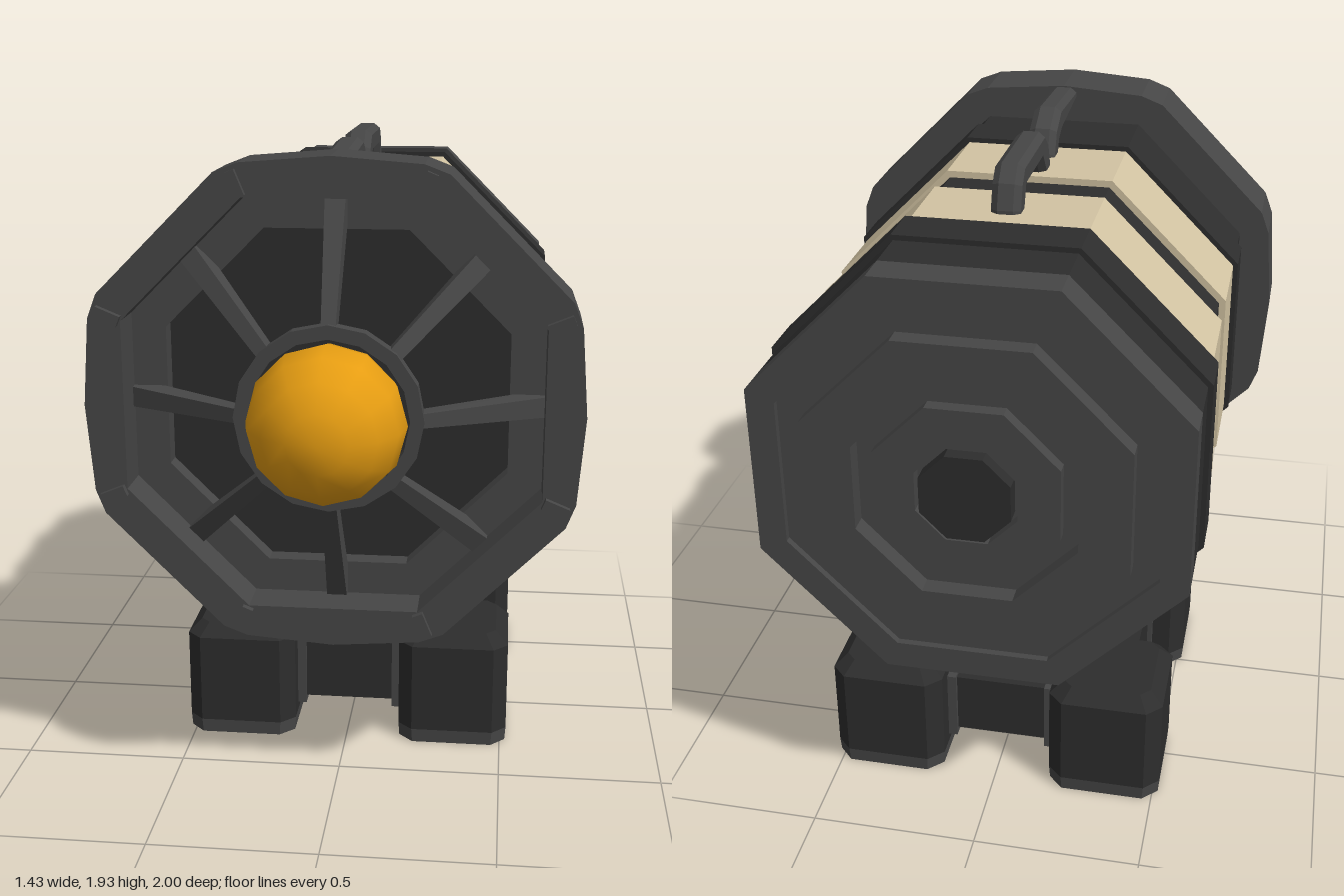
import * as THREE from 'three';

const CY = 1.2; // height of the barrel axis
const flat = (name, color) => {
  const m = new THREE.MeshStandardMaterial({ color, flatShading: true });
  m.name = name;
  return m;
};

// Octagon points with flats facing up and sideways; a = centre-to-flat distance
const octagon = (a) => Array.from({ length: 8 }, (_, i) => {
  const t = (i + 0.5) * Math.PI / 4, r = a / Math.cos(Math.PI / 8);
  return new THREE.Vector2(r * Math.cos(t), r * Math.sin(t));
});

// Plate along z from z0 to z1, with an optional hole
function plate(points, hole, z0, z1) {
  const s = new THREE.Shape(points);
  if (hole) s.holes.push(new THREE.Path(hole));
  return new THREE.ExtrudeGeometry(s, { depth: z1 - z0, bevelEnabled: false }).translate(0, 0, z0);
}

// Skin through matching rings of points, capped at both ends
function loft(rings) {
  const n = rings[0].length, pos = rings.flat(2), idx = [];
  for (let k = 0; k < rings.length - 1; k++) {
    for (let i = 0; i < n; i++) {
      const a = k * n + i, b = k * n + (i + 1) % n;
      idx.push(a, b, a + n, b, b + n, a + n);
    }
  }
  const top = (rings.length - 1) * n;
  for (let i = 1; i < n - 1; i++) idx.push(0, i + 1, i, top, top + i, top + i + 1);
  const g = new THREE.BufferGeometry();
  g.setAttribute('position', new THREE.Float32BufferAttribute(pos, 3));
  g.setIndex(idx);
  g.computeVertexNormals();
  return g;
}

// Square ring with cut corners at height y, counter-clockwise about +y
const cutSquare = (h, c, y) => [
  [h, y, h - c], [h, y, c - h], [h - c, y, -h], [c - h, y, -h],
  [-h, y, c - h], [-h, y, h - c], [c - h, y, h], [h - c, y, h],
];

export function createModel() {
  const dark = flat('charcoal', 0x2d2d2d);
  const grey = flat('grey', 0x464646);
  const tan = flat('tan', 0xd2c3a2);
  const amber = new THREE.MeshStandardMaterial({ color: 0xe69d12 });
  amber.name = 'amber';

  const model = new THREE.Group();
  const barrel = new THREE.Group();
  barrel.name = 'barrel';
  barrel.position.y = CY;
  model.add(barrel);
  const add = (parent, name, geo, mat) => {
    const m = new THREE.Mesh(geo, mat);
    m.name = name;
    parent.add(m);
    return m;
  };

  // Eight-sided body bands from front to back: z0, z1, size, material
  [
    [0.30, 0.46, 0.60, dark], [0.15, 0.30, 0.615, dark], [-0.135, 0.15, 0.60, tan],
    [-0.28, -0.135, 0.58, dark], [-0.57, -0.28, 0.60, tan], [-0.715, -0.57, 0.615, dark],
    [-0.86, -0.715, 0.60, dark], [-0.945, -0.86, 0.60, grey],
  ].forEach(([z0, z1, a, mat], i) => add(barrel, 'bodyBand' + i, plate(octagon(a), null, z0, z1), mat));

  // Stepped rear cap
  add(barrel, 'rearRim', plate(octagon(0.60), octagon(0.52), -0.965, -0.945), grey);
  add(barrel, 'rearPlate', plate(octagon(0.445), octagon(0.305), -1.0, -0.945), grey);
  add(barrel, 'rearInnerPlate', plate(octagon(0.255), octagon(0.14), -0.985, -0.945), grey);
  add(barrel, 'rearHub', plate(octagon(0.125), null, -1.0, -0.945), dark);

  // Front hood with clipped corners, built from one octant edge turned round
  const hoodOutline = [];
  const quarter = [[0.715, 0], [0.695, 0.255], [0.668, 0.325], [0.325, 0.668], [0.255, 0.695]];
  for (let q = 0; q < 4; q++) {
    for (const [x, y] of quarter) {
      hoodOutline.push(new THREE.Vector2(x, y).rotateAround(new THREE.Vector2(), q * Math.PI / 2));
    }
  }
  add(barrel, 'frontHood', plate(hoodOutline, octagon(0.60), 0.44, 0.65), grey);
  add(barrel, 'hoodInnerRing', plate(octagon(0.61), octagon(0.50), 0.445, 0.52), grey);

  // Spokes and rim clips
  const spoke = loft([
    [[0.61, -0.035, 0.46], [0.61, 0.035, 0.46], [0.61, 0.03, 0.535], [0.61, -0.03, 0.535]].reverse(),
    [[0.235, -0.022, 0.685], [0.235, 0.022, 0.685], [0.235, 0.02, 0.735], [0.235, -0.02, 0.735]].reverse(),
  ]);
  for (let i = 0; i < 8; i++) {
    add(barrel, 'spoke' + i, spoke, grey).rotation.z = i * Math.PI / 4;
    const t = (i + 0.5) * Math.PI / 4;
    const clip = add(barrel, 'rimClip' + i, new THREE.BoxGeometry(0.075, 0.032, 0.04), grey);
    clip.position.set(0.69 * Math.cos(t), 0.69 * Math.sin(t), 0.65);
    clip.rotation.z = t;
  }

  // Lamp bulb and its collar
  const circle = (r) => Array.from({ length: 16 }, (_, i) =>
    new THREE.Vector2(r * Math.cos(i * Math.PI / 8), r * Math.sin(i * Math.PI / 8)));
  add(barrel, 'bulbCollar', plate(circle(0.268), circle(0.228), 0.69, 0.735), grey);
  const bulb = add(barrel, 'bulb', new THREE.SphereGeometry(0.225, 12, 8).rotateX(Math.PI / 2), amber);
  bulb.position.z = 0.775;

  // Carry handles: side profiles in (z, y), given width along x
  const handle = (name, pts) => {
    const s = new THREE.Shape(pts.map(([z, y]) => new THREE.Vector2(-z, y - CY)));
    const g = new THREE.ExtrudeGeometry(s, {
      depth: 0.045, bevelThickness: 0.02, bevelSize: 0.015, bevelOffset: -0.015, bevelSegments: 1,
    });
    add(barrel, name, g.translate(0, 0, -0.0225).rotateY(Math.PI / 2), grey);
  };
  handle('frontHandle', [[0.45, 1.91], [0.45, 1.87], [0.18, 1.845], [0.135, 1.825], [0.115, 1.78],
    [0.035, 1.78], [0.04, 1.81], [0.075, 1.88], [0.16, 1.925]]);
  handle('rearHandle', [[-0.005, 1.78], [-0.01, 1.81], [-0.04, 1.88], [-0.10, 1.925], [-0.40, 1.925],
    [-0.445, 1.88], [-0.47, 1.81], [-0.47, 1.78], [-0.40, 1.78], [-0.37, 1.85], [-0.14, 1.85], [-0.08, 1.78]]);

  // Stand: centre slab, four chamfered feet, cuffs and posts
  const stand = new THREE.Group();
  stand.name = 'stand';
  stand.position.z = -0.205;
  model.add(stand);
  add(stand, 'standSlab', new THREE.BoxGeometry(0.80, 0.20, 0.80), dark).position.y = 0.19;

  const footBase = loft([cutSquare(0.172, 0.045, 0), cutSquare(0.175, 0.045, 0.045)]);
  const footBlock = loft([cutSquare(0.175, 0.045, 0.045), cutSquare(0.175, 0.045, 0.335),
    cutSquare(0.135, 0.03, 0.375)]);
  for (const sx of [-1, 1]) {
    for (const sz of [-1, 1]) {
      const foot = new THREE.Group();
      foot.name = (sz > 0 ? 'front' : 'rear') + (sx > 0 ? 'Left' : 'Right') + 'Foot';
      foot.position.set(sx * 0.345, 0, sz * 0.345);
      stand.add(foot);
      add(foot, 'footBase', footBase, grey);
      add(foot, 'footBlock', footBlock, dark);
      // Cuffs where the slab enters the foot
      const cuffX = add(foot, 'sideCuff', new THREE.BoxGeometry(0.05, 0.23, 0.24), grey);
      cuffX.position.set(-sx * 0.178, 0.185, -sz * 0.05);
      const cuffZ = add(foot, 'endCuff', new THREE.BoxGeometry(0.24, 0.23, 0.05), grey);
      cuffZ.position.set(-sx * 0.05, 0.185, -sz * 0.178);
      // Post up to the barrel
      const post = add(stand, 'post', new THREE.BoxGeometry(0.165, 0.42, 0.14), grey);
      post.position.set(sx * 0.165, 0.44, sz * 0.145);
    }
  }
  return model;
}
